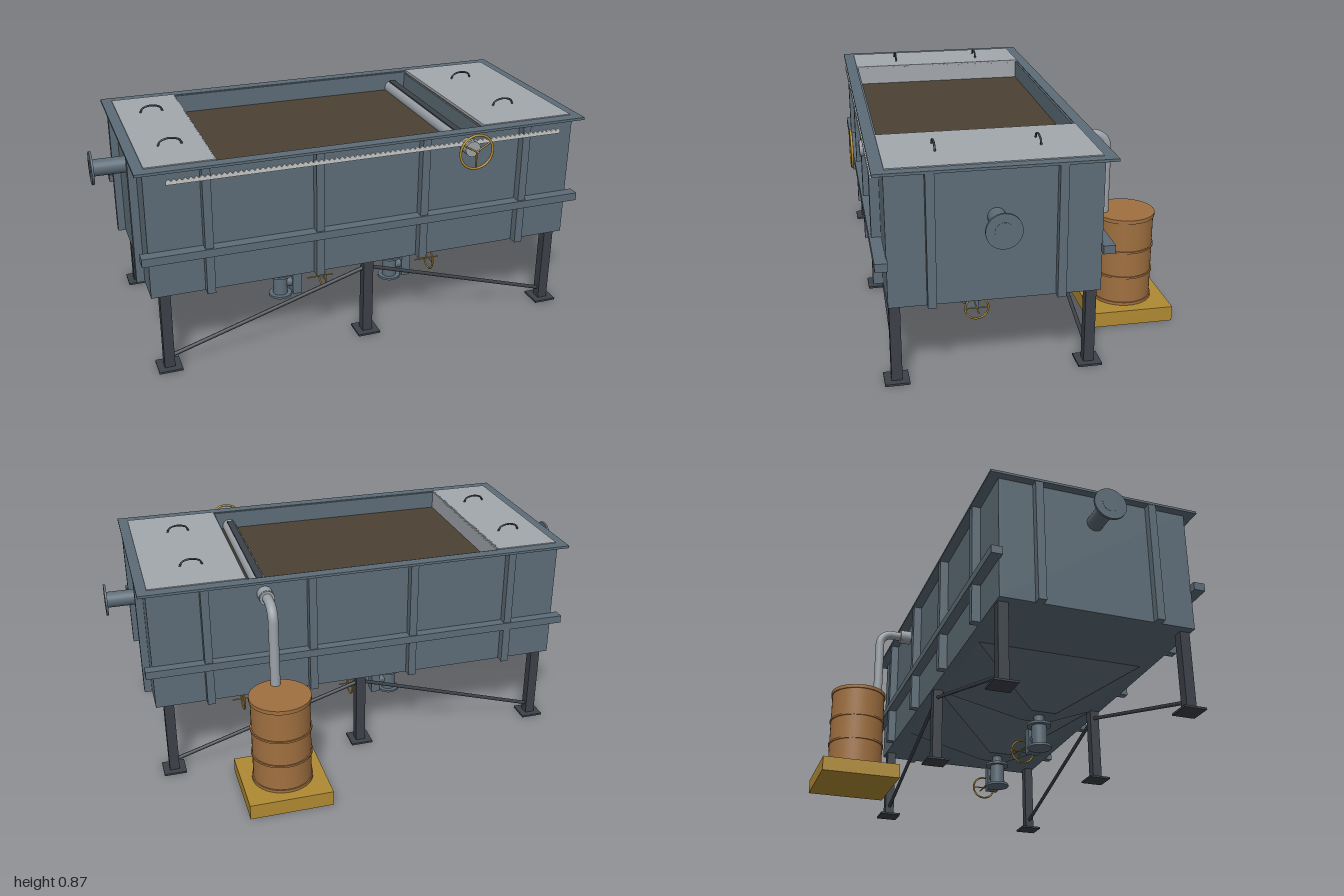
import * as THREE from 'three';

const mat = (name, color) => {
  const m = new THREE.MeshStandardMaterial({ color });
  m.name = name;
  return m;
};

export function createModel() {
  const steel = mat('blue grey steel', 0x5d6c77);
  const dark = mat('dark frame steel', 0x3c4148);
  const lidGrey = mat('lid grey', 0xa3a8ad);
  const pipeGrey = mat('pipe grey', 0x9ba2a8);
  const sludge = mat('brown liquid', 0x4b4032);
  const gold = mat('ochre', 0xb08a32);
  const rust = mat('drum brown', 0xa07040);
  const pale = mat('pale weir', 0xc6c8c8);

  const root = new THREE.Group();
  root.name = 'settlingTank';
  const CZ = 0.157; // tank centre in z

  const add = (name, geo, m, x = 0, y = 0, z = 0, parent = root) => {
    const mesh = new THREE.Mesh(geo, m);
    mesh.name = name;
    mesh.position.set(x, y, z);
    parent.add(mesh);
    return mesh;
  };
  // box given by its limits
  const box = (name, m, x0, x1, y0, y1, z0, z1) => add(name,
    new THREE.BoxGeometry(x1 - x0, y1 - y0, z1 - z0), m, (x0 + x1) / 2, (y0 + y1) / 2, (z0 + z1) / 2);
  // round bar between two points
  const rod = (name, m, a, b, r, parent = root, sides = 24) => {
    const p = new THREE.Vector3(...a), q = new THREE.Vector3(...b), d = q.clone().sub(p);
    const mesh = add(name, new THREE.CylinderGeometry(r, r, d.length(), sides), m, 0, 0, 0, parent);
    mesh.position.copy(p).add(q).multiplyScalar(0.5);
    mesh.quaternion.setFromUnitVectors(new THREE.Vector3(0, 1, 0), d.normalize());
    return mesh;
  };
  // handwheel in its own xy plane
  const wheel = (name, r, tube, spokes) => {
    const g = new THREE.Group();
    g.name = name;
    add('wheelRim', new THREE.TorusGeometry(r, tube, 8, 32), gold, 0, 0, 0, g);
    for (let i = 0; i < spokes; i++) {
      const a = Math.PI / 6 * (spokes === 3 ? 1 : 0) + i * 2 * Math.PI / spokes;
      rod('wheelSpoke', gold, [0, 0, 0], [r * Math.cos(a), r * Math.sin(a), 0], tube * 0.7, g, 8);
    }
    root.add(g);
    return g;
  };
  // strip with a row of pointed teeth on top, in the xy plane
  const weirGeometry = (length, low, high, teeth, depth) => {
    const s = new THREE.Shape();
    s.moveTo(-length / 2, 0);
    s.lineTo(length / 2, 0);
    for (let i = teeth; i > 0; i--) {
      s.lineTo(-length / 2 + length * i / teeth, low);
      s.lineTo(-length / 2 + length * (i - 0.5) / teeth, high);
    }
    s.lineTo(-length / 2, low);
    return new THREE.ExtrudeGeometry(s, { depth, bevelEnabled: false });
  };

  // tank shell
  const Z0 = -0.23, Z1 = 0.545;
  box('tankFloor', steel, -0.86, 0.86, 0.32, 0.332, Z0, Z1);
  box('frontWall', steel, -0.86, 0.86, 0.32, 0.83, Z1 - 0.012, Z1);
  box('backWall', steel, -0.86, 0.86, 0.32, 0.83, Z0, Z0 + 0.012);
  for (const s of [-1, 1]) {
    box('endWall', steel, s * 0.854 - 0.006, s * 0.854 + 0.006, 0.32, 0.83, Z0, Z1);
  }

  // top flange with open middle
  const rim = new THREE.Shape([[-0.892, -0.428], [0.892, -0.428], [0.892, 0.428], [-0.892, 0.428]]
    .map(p => new THREE.Vector2(...p)));
  rim.holes.push(new THREE.Path([[-0.852, -0.383], [-0.852, 0.383], [0.852, 0.383], [0.852, -0.383]]
    .map(p => new THREE.Vector2(...p))));
  const rimGeo = new THREE.ExtrudeGeometry(rim, { depth: 0.01, bevelEnabled: false });
  rimGeo.rotateX(-Math.PI / 2);
  add('topFlange', rimGeo, steel, 0, 0.823, CZ);

  // ribs and waist beams
  for (const x of [-0.64, -0.213, 0.213, 0.64]) {
    box('frontRib', steel, x - 0.016, x + 0.016, 0.32, 0.823, Z1, 0.58);
    box('backRib', steel, x - 0.016, x + 0.016, 0.32, 0.823, -0.265, Z0);
  }
  for (const s of [-1, 1]) for (const z of [-0.077, 0.391]) {
    const r = box('endRib', steel, 0.86, 0.89, 0.32, 0.823, z - 0.016, z + 0.016);
    r.position.x *= s;
  }
  box('frontBeam', steel, -0.89, 0.89, 0.475, 0.507, 0.542, 0.588);
  box('backBeam', steel, -0.89, 0.89, 0.475, 0.507, -0.27, -0.226);

  // liquid, baffle and weirs
  box('liquidSurface', sludge, -0.848, 0.848, 0.74, 0.755, Z0 + 0.012, Z1 - 0.012);
  box('baffle', steel, 0.462, 0.47, 0.7, 0.823, Z0 + 0.012, Z1 - 0.012);
  add('frontWeir', weirGeometry(1.57, 0.012, 0.022, 78, 0.006), pale, 0, 0.78, 0.579);
  const weir = add('innerWeir', weirGeometry(0.75, 0.07, 0.083, 38, 0.006), lidGrey, -0.595, 0.755, CZ);
  weir.rotation.y = Math.PI / 2;

  // lids with bent handles
  for (const [x0, x1, hx] of [[-0.852, -0.59, -0.72], [0.47, 0.852, 0.655]]) {
    box('lid', lidGrey, x0, x1, 0.825, 0.837, -0.226, 0.54);
    for (const z of [-0.037, 0.347]) {
      const path = new THREE.CatmullRomCurve3([[-0.045, 0], [-0.036, 0.018], [0, 0.028], [0.036, 0.018], [0.045, 0]]
        .map(([x, y]) => new THREE.Vector3(x, y, 0)));
      add('lidHandle', new THREE.TubeGeometry(path, 20, 0.004, 8), dark, hx, 0.835, z);
    }
  }

  // inlet and outlet stubs
  for (const [s, y] of [[-1, 0.705], [1, 0.64]]) {
    rod('pipeStub', steel, [s * 0.85, y, CZ], [s * 1.0, y, CZ], 0.033);
    rod('stubFlange', steel, [s * 0.99, y, CZ], [s * 0.999, y, CZ], 0.065, root, 32);
  }

  // slotted skimmer pipe with handwheel
  rod('skimmerPipe', pipeGrey, [0.4, 0.765, -0.272], [0.4, 0.765, 0.595], 0.031);
  box('skimmerSlot', dark, 0.386, 0.414, 0.792, 0.798, -0.21, 0.51);
  wheel('skimmerHandwheel', 0.068, 0.005, 3).position.set(0.4, 0.765, 0.624);
  rod('drainCollar', pipeGrey, [0.4, 0.765, -0.262], [0.4, 0.765, -0.28], 0.03);

  // drain pipe bending down to the drum
  const v = (y, z) => new THREE.Vector3(0.4, y, z);
  const drain = new THREE.CurvePath();
  drain.add(new THREE.LineCurve3(v(0.765, -0.27), v(0.765, -0.32)));
  drain.add(new THREE.CubicBezierCurve3(v(0.765, -0.32), v(0.765, -0.35), v(0.74, -0.375), v(0.71, -0.375)));
  drain.add(new THREE.LineCurve3(v(0.71, -0.375), v(0.42, -0.375)));
  add('drainPipe', new THREE.TubeGeometry(drain, 60, 0.02, 20), pipeGrey);

  // drum on its base
  box('drumBase', gold, 0.235, 0.57, 0, 0.062, -0.63, -0.295);
  rod('drumBody', rust, [0.402, 0.06, -0.462], [0.402, 0.435, -0.462], 0.118, root, 40);
  for (const [y, h] of [[0.067, 0.007], [0.184, 0.004], [0.295, 0.004], [0.428, 0.008]]) {
    rod('drumHoop', rust, [0.402, y - h, -0.462], [0.402, y + h, -0.462], 0.123, root, 40);
  }

  // hoppers with outlet valves
  for (const x of [-0.253, 0.253]) {
    const geo = new THREE.BoxGeometry(2, 0.168, 2).toNonIndexed();
    const p = geo.attributes.position;
    for (let i = 0; i < p.count; i++) {
      const top = p.getY(i) > 0;
      p.setX(i, p.getX(i) * (top ? 0.25 : 0.053));
      p.setZ(i, p.getZ(i) * (top ? 0.345 : 0.053));
    }
    geo.computeVertexNormals();
    add('hopper', geo, steel, x, 0.237, CZ);
    rod('hopperNeck', steel, [x, 0.11, CZ], [x, 0.155, CZ], 0.021);
    rod('valveBody', steel, [x, 0.02, CZ], [x, 0.115, CZ], 0.031);
    for (const y of [0.02, 0.115]) {
      rod('valveFlange', steel, [x, y - 0.005, CZ], [x, y + 0.005, CZ], 0.049);
    }
    rod('valveArm', steel, [x, 0.07, CZ], [x + 0.06, 0.07, CZ], 0.02);
    box('valveBonnet', steel, x + 0.05, x + 0.089, 0.018, 0.122, CZ - 0.026, CZ + 0.026);
    const w = wheel('valveHandwheel', 0.048, 0.004, 2);
    w.position.set(x + 0.191, 0.07, CZ);
    w.rotation.y = Math.PI / 2;
    rod('valveStem', gold, [x + 0.125, 0.07, CZ], [x + 0.24, 0.07, CZ], 0.003, root, 8);
  }

  // legs, feet and diagonal braces
  for (const z of [-0.204, 0.52]) {
    for (const x of [-0.808, 0, 0.808]) {
      box('leg', dark, x - 0.02, x + 0.02, 0, 0.322, z - 0.02, z + 0.02);
      box('foot', dark, x - 0.046, x + 0.046, 0, 0.008, z - 0.046, z + 0.046);
    }
    for (const s of [-1, 1]) {
      rod('brace', dark, [s * 0.8, 0.045, z], [0, 0.292, z], 0.008, root, 8);
    }
  }
  return root;
}
